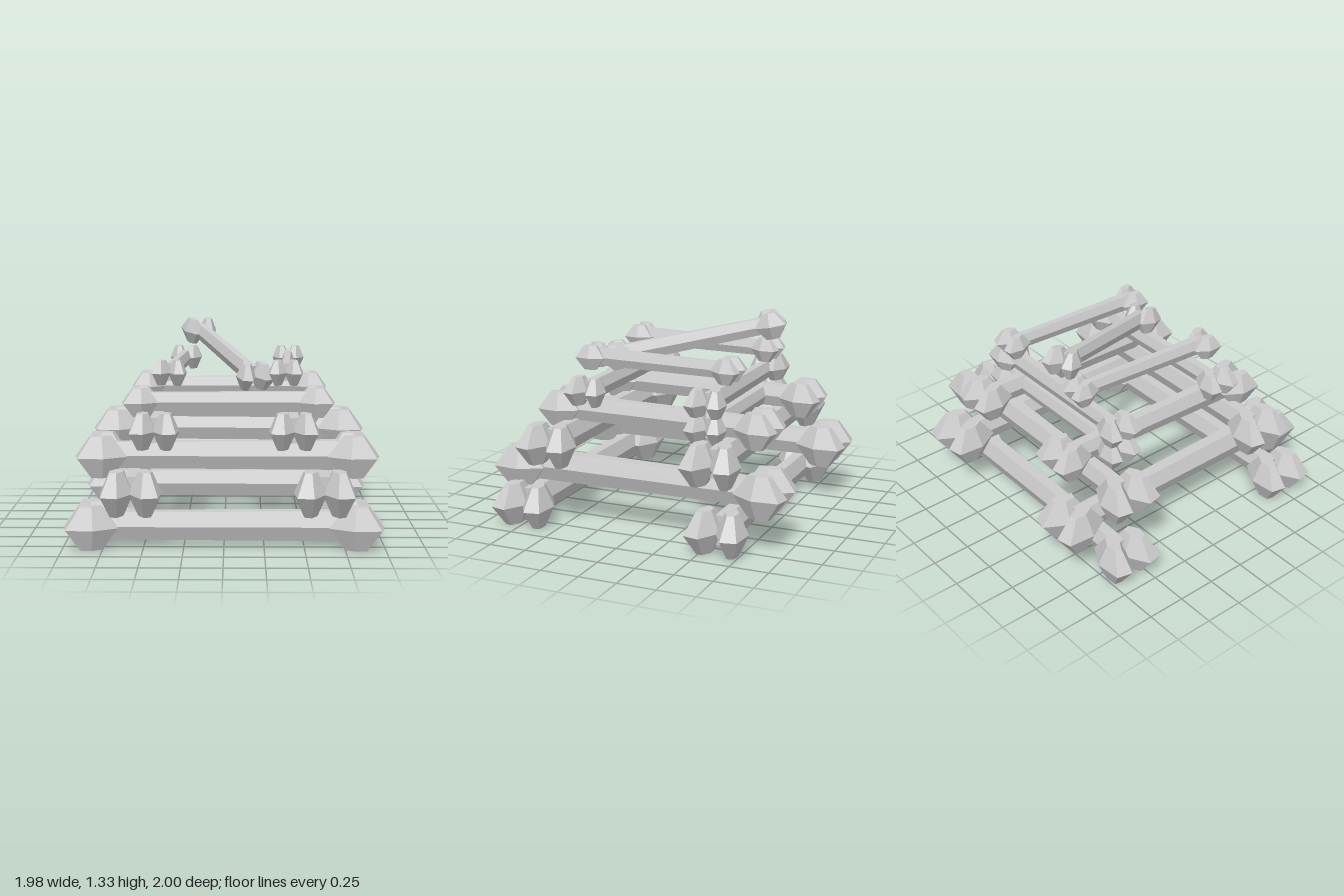
import * as THREE from 'three';

const material = new THREE.MeshStandardMaterial({ color: 0xcccccc, flatShading: true });

// Knuckle: a faceted lump, widest at mid height, stretched along the bone
const knobGeometry = new THREE.LatheGeometry(
  [[0, -0.138], [0.42, -0.138], [1, 0], [0.42, 0.138], [0, 0.138]].map(([r, y]) => new THREE.Vector2(r, y)),
  6, Math.PI / 6
).scale(0.105, 1, 0.19);

// Shaft: slightly tapered six-sided bar along z
const shaftGeometry = new THREE.CylinderGeometry(0.112, 0.1, 1.6, 6)
  .rotateY(Math.PI / 6)
  .rotateX(Math.PI / 2)
  .rotateZ(0)
  .scale(0.7, 1, 1);

// One bone spanning two tip points; thickness follows its length
function bone(name, from, to) {
  const a = new THREE.Vector3(...from), b = new THREE.Vector3(...to);
  const group = new THREE.Group();
  group.name = name;
  const shaft = new THREE.Mesh(shaftGeometry, material);
  shaft.name = 'shaft';
  group.add(shaft);
  for (const end of [-1, 1]) {
    for (const side of [-1, 1]) {
      const knob = new THREE.Mesh(knobGeometry, material);
      knob.name = 'knuckle';
      knob.position.set(side * 0.088, 0, end * 0.83);
      knob.rotation.y = side * end * 0.22;
      group.add(knob);
    }
  }
  group.position.copy(a).add(b).multiplyScalar(0.5);
  group.lookAt(group.position.clone().add(b).sub(a));
  group.scale.setScalar(a.distanceTo(b) / 2);
  return group;
}

export function createModel() {
  const model = new THREE.Group();
  model.name = 'bonePile';
  const add = (...args) => model.add(bone(...args));

  // Crosswise bones: [name, x min, x max, y, z]
  for (const [name, x0, x1, y, z] of [
    ['baseFrontBone', -0.99, 0.99, 0.145, 0.73],
    ['baseBackBone', -0.99, 0.99, 0.145, -0.61],
    ['thirdLayerFrontBone', -0.93, 0.97, 0.56, 0.56],
    ['thirdLayerBackBone', -0.93, 0.97, 0.56, -0.56],
    ['fifthLayerFrontBone', -0.65, 0.7, 0.875, 0.4],
    ['fifthLayerBackBone', -0.65, 0.7, 0.875, -0.43],
    ['lowerBackBone', -0.65, 0.7, 0.715, -0.43],
  ]) add(name, [x0, y, z], [x1, y, z]);

  // Lengthwise bones: [name, back x, front x, y, back z, front z]
  for (const [name, xBack, xFront, y, z0, z1] of [
    ['secondLayerRightBone', -0.58, -0.57, 0.365, -1, 1],
    ['secondLayerLeftBone', 0.62, 0.62, 0.365, -1, 1],
    ['fourthLayerRightBone', -0.39, -0.44, 0.72, -0.87, 0.78],
    ['fourthLayerLeftBone', 0.46, 0.435, 0.72, -0.87, 0.78],
    ['sixthLayerRightBone', -0.27, -0.355, 1.065, -0.61, 0.54],
    ['sixthLayerLeftBone', 0.445, 0.385, 1.065, -0.61, 0.54],
  ]) add(name, [xBack, y, z0], [xFront, y, z1]);

  // Slanted bone leaning on top
  add('topBone', [-0.22, 1.27, -0.66], [0.225, 1.015, 0.47]);
  return model;
}
